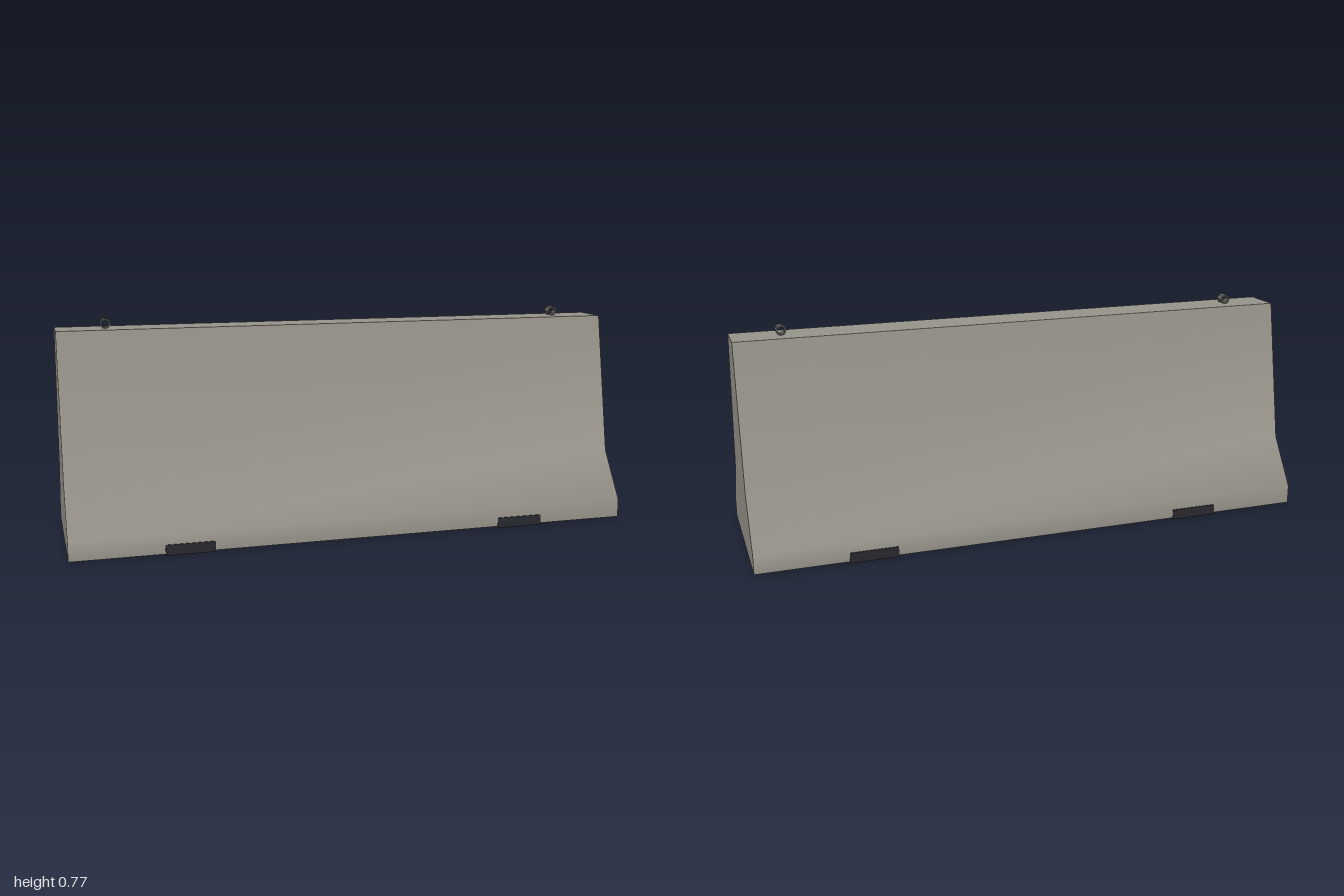
import * as THREE from 'three';
import { toCreasedNormals } from 'three/addons/utils/BufferGeometryUtils.js';

const material = (name, color) => {
  const m = new THREE.MeshStandardMaterial({ color });
  m.name = name;
  return m;
};

// Extrudes a shape along z, centred on z = 0
const extrudeCentred = (shape, depth, curveSegments = 4) =>
  new THREE.ExtrudeGeometry(shape, { depth, bevelEnabled: false, curveSegments })
    .translate(0, 0, -depth / 2);

export function createModel() {
  const concrete = material('concrete', 0x99958c);
  const steel = material('steel', 0x6b6a66);
  const rubber = material('rubber', 0x292a30);

  const group = new THREE.Group();
  group.name = 'roadBarrier';
  const add = (name, geometry, mat, x = 0, y = 0) => {
    const mesh = new THREE.Mesh(geometry, mat);
    mesh.name = name;
    mesh.position.set(x, y, 0);
    group.add(mesh);
  };

  // Concrete body: mirrored half profile, softly shaded over the side bends
  const half = [[0.275, 0.005], [0.275, 0.07], [0.165, 0.235], [0.069, 0.737]];
  const outline = [...half, ...half.map(([z, y]) => [-z, y]).reverse()];
  const profile = new THREE.Shape(outline.map(([z, y]) => new THREE.Vector2(z, y)));
  const body = extrudeCentred(profile, 2).rotateY(Math.PI / 2);
  add('concreteBody', toCreasedNormals(body, THREE.MathUtils.degToRad(45)), concrete);

  // Eight-sided lifting ring
  const ringShape = new THREE.Shape();
  const ringHole = new THREE.Path();
  for (let i = 0; i < 8; i++) {
    const a = (i * Math.PI) / 4;
    const [c, s] = [Math.cos(a), Math.sin(a)];
    ringShape[i ? 'lineTo' : 'moveTo'](0.018 * c, 0.018 * s);
    ringHole[i ? 'lineTo' : 'moveTo'](0.013 * c, 0.013 * s);
  }
  ringShape.holes.push(ringHole);
  const ring = extrudeCentred(ringShape, 0.031);

  // Rubber pad wrapping under the foot
  const pad = new THREE.BoxGeometry(0.168, 0.037, 0.556);

  for (const [side, sign] of [['left', 1], ['right', -1]]) {
    add(side + 'LiftingRing', ring, steel, sign * 0.833, 0.753);
    add(side + 'FootPad', pad, rubber, sign * 0.599, 0.0185);
  }
  return group;
}
